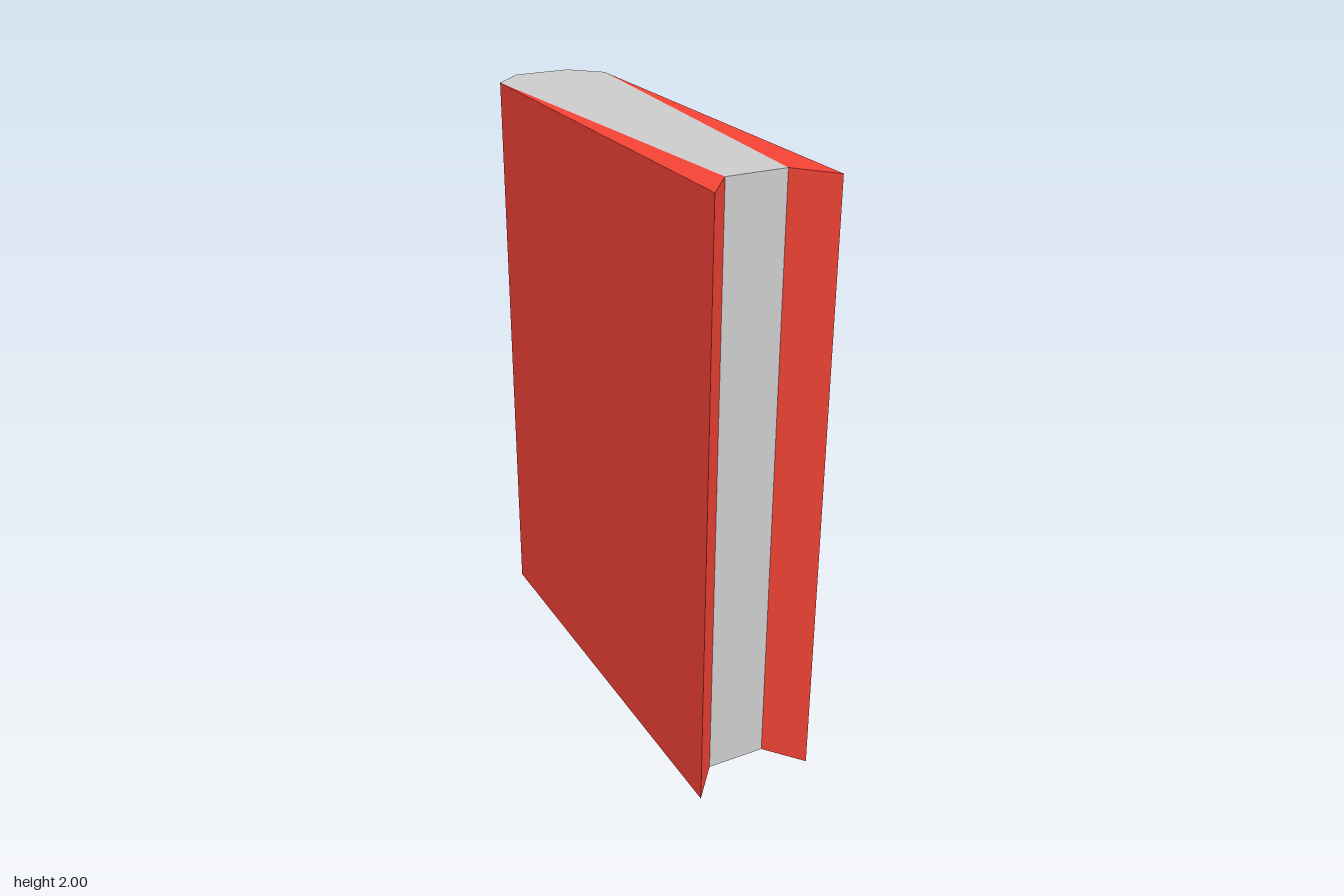
import * as THREE from 'three';
import { mergeGeometries } from 'three/addons/utils/BufferGeometryUtils.js';

const HEIGHT = 2;

// Upright faces along a path of [x, z] points, facing outward when the path runs counterclockwise from above
function walls(path) {
  const positions = [];
  for (let i = 0; i < path.length - 1; i++) {
    const [ax, az] = path[i], [bx, bz] = path[i + 1];
    positions.push(ax, 0, az, bx, 0, bz, bx, HEIGHT, bz);
    positions.push(ax, 0, az, bx, HEIGHT, bz, ax, HEIGHT, az);
  }
  const geometry = new THREE.BufferGeometry();
  geometry.setAttribute('position', new THREE.Float32BufferAttribute(positions, 3));
  geometry.computeVertexNormals();
  return geometry;
}

// Flat top and bottom faces over an outline of [x, z] points
function caps(outline) {
  const face = (sign) => {
    const shape = new THREE.Shape(outline.map(([x, z]) => new THREE.Vector2(x, sign * z)));
    const geometry = new THREE.ShapeGeometry(shape).toNonIndexed();
    geometry.deleteAttribute('uv');
    return geometry.rotateX(sign * Math.PI / 2);
  };
  return [face(-1).translate(0, HEIGHT, 0), face(1)];
}

export function createModel() {
  const book = new THREE.Group();
  book.name = 'book';
  const paper = new THREE.MeshStandardMaterial({ color: 0xcccccc, flatShading: true });
  const cloth = new THREE.MeshStandardMaterial({ color: 0xf44336, flatShading: true });

  const add = (name, material, parts) => {
    const mesh = new THREE.Mesh(mergeGeometries(parts), material);
    mesh.name = name;
    book.add(mesh);
  };

  // Page block: tapers to the front, with a chamfered back
  const foreEdge = [[-0.1, 0.68], [0.1, 0.68]];
  const spine = [[0.2, -0.7], [0.1, -0.8], [-0.1, -0.8], [-0.2, -0.7]];
  add('pages', paper, [walls(foreEdge), ...caps([...foreEdge, ...spine])]);

  // Spine wraps the chamfered back
  add('spine', cloth, [walls(spine)]);

  // Wedge-shaped covers overhang the pages at the front
  const leftCover = [[0.1, 0.68], [0.2, 0.8], [0.2, -0.7]];
  const rightCover = leftCover.map(([x, z]) => [-x, z]).reverse();
  add('leftCover', cloth, [walls(leftCover), ...caps(leftCover)]);
  add('rightCover', cloth, [walls(rightCover), ...caps(rightCover)]);

  return book;
}
